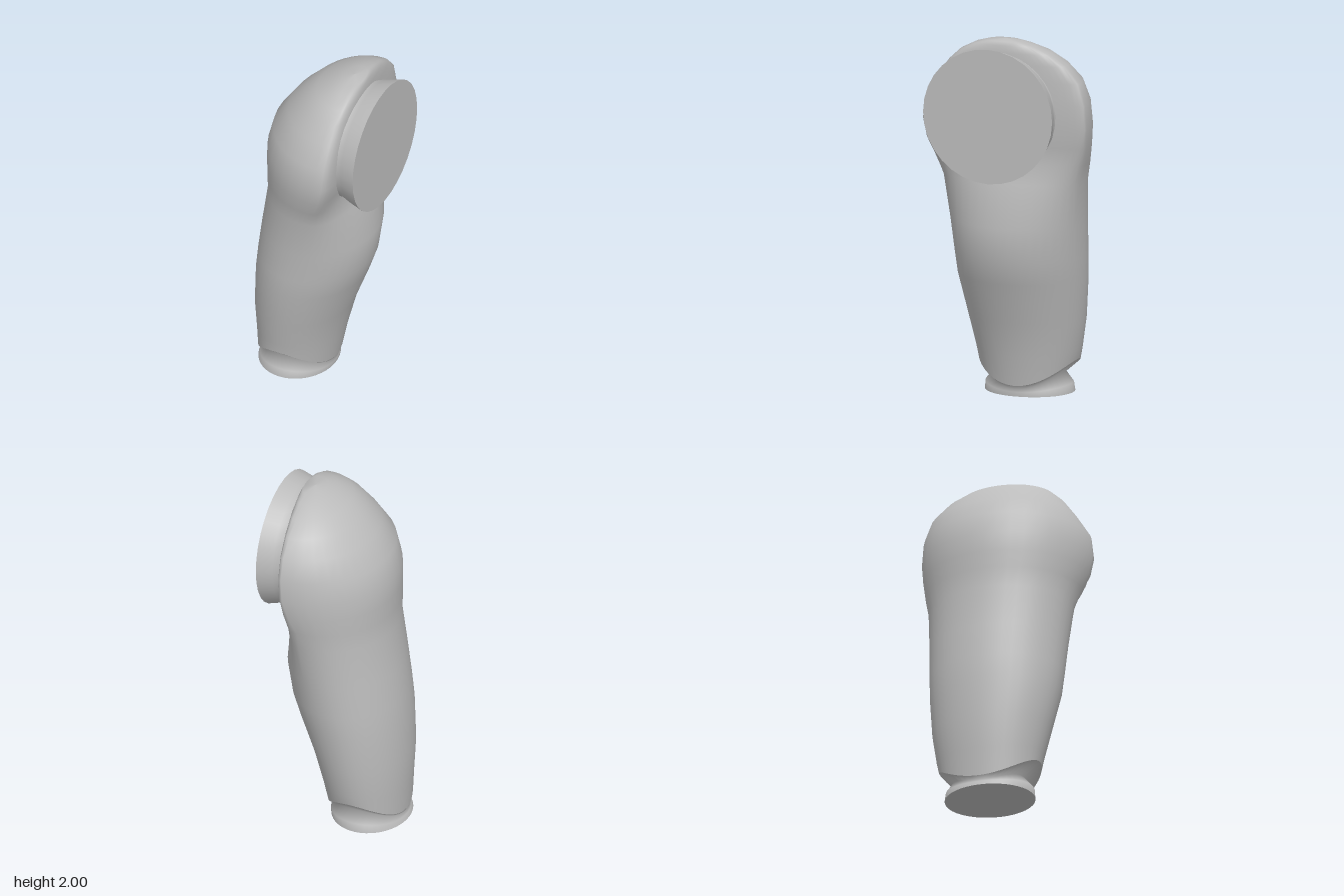
import * as THREE from 'three';

// Cross-sections: [y, xMin, xMax, x of widest point, zMin, zMax, rise towards front and back]
const HEM = [0.06, -0.36, 0.07, -0.15, -0.285, 0.28, 0.13];
const CUFF = [
  [0, -0.37, 0.06, -0.155, -0.25, 0.245],
  [0.025, -0.36, 0.062, -0.15, -0.245, 0.24, 0.025],
  [0.04, -0.35, 0.058, -0.15, -0.2, 0.19, 0.07],
  HEM,
];
const ARM = [
  HEM,
  [0.22, -0.367, 0.1, -0.14, -0.3, 0.29, 0.03],
  [0.42, -0.375, 0.15, -0.12, -0.33, 0.325],
  [0.65, -0.362, 0.235, -0.08, -0.355, 0.365],
  [0.78, -0.35, 0.277, -0.05, -0.365, 0.37],
  [0.97, -0.325, 0.3, -0.01, -0.377, 0.38],
  [1.21, -0.29, 0.25, 0.05, -0.4, 0.398],
  [1.32, -0.29, 0.22, 0.1, -0.43, 0.43],
];
const SHOULDER = [
  [1.42, -0.29, 0.235, 0.14, -0.452, 0.46],
  [1.53, -0.288, 0.25, 0.17, -0.467, 0.472],
  [1.66, -0.255, 0.255, 0.18, -0.462, 0.455],
  [1.78, -0.175, 0.255, 0.18, -0.428, 0.38],
  [1.87, -0.09, 0.255, 0.18, -0.35, 0.315],
  [1.93, -0.015, 0.255, 0.18, -0.26, 0.25],
  [1.97, 0.07, 0.25, 0.18, -0.165, 0.17],
  [1.99, 0.12, 0.24, 0.18, -0.09, 0.1],
  [2, 0.18, 0.18, 0.18, 0, 0],
];
const SIDES = 40;

// Half-ellipses either side of the widest point; the inner side turns flat and slanted at the shoulder
function ring([y, xMin, xMax, cx, zMin, zMax, rise = 0]) {
  const square = 1 - 0.5 * THREE.MathUtils.smoothstep(y, 0.9, 1.45);
  const skew = 0.06 * THREE.MathUtils.smoothstep(y, 1.21, 1.5);
  return Array.from({ length: SIDES }, (_, i) => {
    const a = (i / SIDES) * Math.PI * 2;
    const c = Math.cos(a), s = Math.sin(a);
    const inner = Math.max(c, 0);
    const z = s > 0 ? s * zMax : -s * zMin;
    const x = cx + (xMax - cx) * inner ** square + (cx - xMin) * Math.min(c, 0);
    return [x + skew * z * inner ** 0.3, y + rise * s * s, z];
  });
}

function loft(sections) {
  const index = [];
  for (let r = 0; r < sections.length - 1; r++) {
    for (let i = 0; i < SIDES; i++) {
      const a = r * SIDES + i, b = r * SIDES + ((i + 1) % SIDES);
      index.push(a, a + SIDES, b, b, a + SIDES, b + SIDES);
    }
  }
  const g = new THREE.BufferGeometry();
  g.setAttribute('position', new THREE.Float32BufferAttribute(sections.flatMap(ring).flat(), 3));
  g.setIndex(index);
  g.computeVertexNormals();
  return g;
}

export function createModel() {
  const group = new THREE.Group();
  const grey = new THREE.MeshStandardMaterial({ color: 0xbcbcbc });
  grey.name = 'plain grey';
  const add = (name, geometry) => {
    const mesh = new THREE.Mesh(geometry, grey);
    mesh.name = name;
    group.add(mesh);
  };

  // Sleeve with domed shoulder, and the flared cuff below its hem
  add('sleeve', loft([...ARM, ...SHOULDER]));
  add('cuff', loft(CUFF));

  // Flat end of the wrist
  const outline = ring(CUFF[0]).map(([x, , z]) => new THREE.Vector2(x, z));
  add('wristCap', new THREE.ShapeGeometry(new THREE.Shape(outline)).rotateX(Math.PI / 2));

  // Shoulder stub flaring towards the flat joint disc
  const profile = [[0.36, 0.12], [0.325, 0.235], [0.345, 0.29], [0.37, 0.375]];
  const stub = new THREE.LatheGeometry(profile.map(([r, h]) => new THREE.Vector2(r, h)), 32);
  const place = (g) => g.scale(1, 1, 1.015).translate(0, 1.6, 0.025);
  add('shoulderStub', place(stub.rotateZ(-Math.PI / 2)));
  add('shoulderCap', place(new THREE.CircleGeometry(0.37, 32).rotateY(Math.PI / 2).translate(0.375, 0, 0)));

  return group;
}
